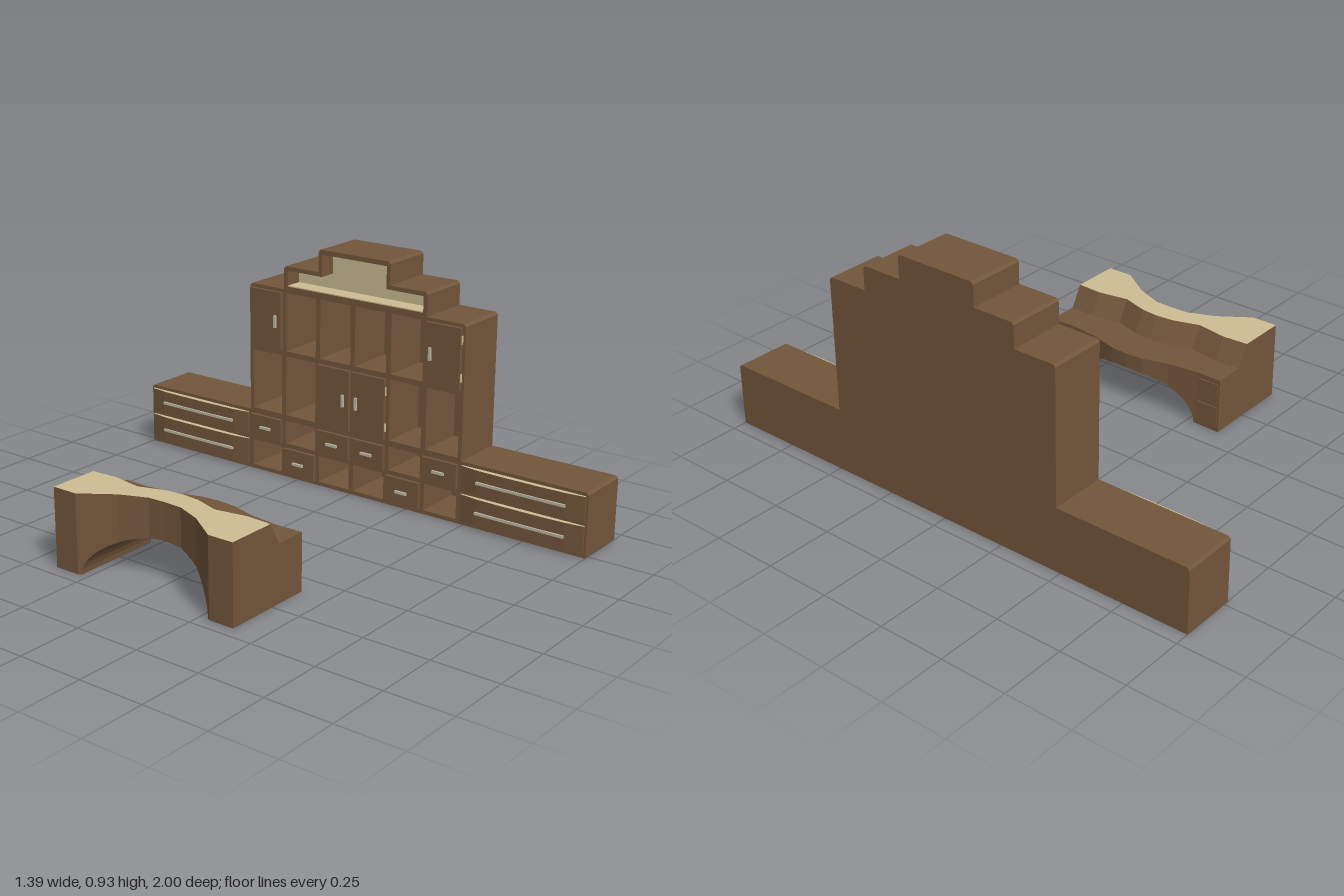
import * as THREE from 'three';

const wood = new THREE.MeshStandardMaterial({ color: 0x73563c });
const cream = new THREE.MeshStandardMaterial({ color: 0xcdbd93 });
const metal = new THREE.MeshStandardMaterial({ color: 0xbdb7a4 });
wood.name = 'brownWood';
cream.name = 'creamPanel';
metal.name = 'paleMetal';

function add(parent, name, geometry, material) {
  const mesh = new THREE.Mesh(geometry, material);
  mesh.name = name;
  parent.add(mesh);
  return mesh;
}

// Box given by its limits on each axis
function box(parent, name, [x0, x1], [y0, y1], [z0, z1], material = wood) {
  const mesh = add(parent, name, new THREE.BoxGeometry(x1 - x0, y1 - y0, z1 - z0), material);
  mesh.position.set((x0 + x1) / 2, (y0 + y1) / 2, (z0 + z1) / 2);
  return mesh;
}

// Outline in the z-y plane, extruded between two x values
function slab(shape, x0, x1) {
  const g = new THREE.ExtrudeGeometry(shape, { depth: x1 - x0, bevelEnabled: false });
  return g.rotateY(-Math.PI / 2).translate(x1, 0, 0);
}

// Symmetric outline from half of its points (positive z, bottom to top)
function mirrored(half) {
  const pts = [...half, ...half.slice().reverse().map(([z, y]) => [-z, y])];
  return pts.map(([z, y]) => new THREE.Vector2(z, y));
}

function rect(z0, z1, y0, y1) {
  return new THREE.Path([[z0, y0], [z1, y0], [z1, y1], [z0, y1]].map(p => new THREE.Vector2(...p)));
}

const ROWS = [[0.015, 0.12], [0.137, 0.23], [0.253, 0.49], [0.51, 0.74]];
// Columns run from z = -0.48 to 0.48: d = drawer or door, o = open
const CELLS = ['odoodo', 'doddod', 'ooddoo', 'dooood'];

function wallUnit() {
  const unit = new THREE.Group();
  unit.name = 'wallUnit';
  const c = 0.009; // chamfer on the top corners
  const silhouette = [[1, 0]];
  for (const [z, y] of [[1, 0.243], [0.485, 0.753], [0.322, 0.843], [0.16, 0.93]]) {
    if (z < 1) silhouette.push([z, silhouette.at(-1)[1]]);
    silhouette.push([z, y - c], [z - c, y]);
  }
  const niche = mirrored([[0.305, 0.765], [0.305, 0.827], [0.145, 0.827], [0.145, 0.912]]);

  const carcass = new THREE.Shape(mirrored(silhouette));
  carcass.holes.push(new THREE.Path(niche));

  ROWS.forEach(([y0, y1], r) => {
    for (let i = 0; i < 6; i++) {
      const z = -0.4 + i * 0.16;
      if (CELLS[r][i] === 'o') {
        carcass.holes.push(rect(z - 0.07, z + 0.07, y0, y1));
        continue;
      }
      const isDoor = r > 1;
      const side = Math.sign(z);
      box(unit, isDoor ? 'door' : 'smallDrawer', [0.465, 0.479], [y0, y1], [z - 0.074, z + 0.074]);
      const ym = (y0 + y1) / 2;
      if (isDoor) {
        const hz = z - side * 0.05;
        box(unit, 'doorHandle', [0.456, 0.466], [ym - 0.024, ym + 0.024], [hz - 0.005, hz + 0.005], metal);
        for (const dy of [-0.07, 0.07]) {
          const z0 = z + side * 0.073;
          box(unit, 'hinge', [0.471, 0.482], [ym + dy - 0.016, ym + dy + 0.016], [z0 - 0.003, z0 + 0.003], cream);
        }
      } else {
        box(unit, 'drawerHandle', [0.456, 0.466], [ym - 0.005, ym + 0.005], [z - 0.025, z + 0.025], metal);
      }
    }
  });

  add(unit, 'carcass', slab(carcass, 0.48, 0.675), wood);
  add(unit, 'backPanel', slab(new THREE.Shape(mirrored(silhouette)), 0.675, 0.695), wood);
  add(unit, 'nicheBack', slab(new THREE.Shape(niche), 0.55, 0.558), cream);
  box(unit, 'nicheFloor', [0.482, 0.55], [0.764, 0.769], [-0.304, 0.304], cream);

  // Wide bowed drawers in the low wings
  const bow = new THREE.Shape([[0.482, -0.25], [0.482, 0.25], [0.472, 0.25], [0.463, 0.18], [0.46, 0.08],
    [0.46, -0.08], [0.463, -0.18], [0.472, -0.25]].map(p => new THREE.Vector2(...p)));
  for (const side of [-1, 1]) {
    for (const [y0, y1] of ROWS.slice(0, 2)) {
      const g = new THREE.ExtrudeGeometry(bow, { depth: y1 - y0, bevelEnabled: false });
      const drawer = add(unit, 'wideDrawer', g.rotateX(-Math.PI / 2), [cream, wood]);
      drawer.position.set(0, y0, side * 0.742);
      const ym = (y0 + y1) / 2;
      box(unit, 'longHandle', [0.454, 0.464], [ym - 0.005, ym + 0.005], [side * 0.742 - 0.18, side * 0.742 + 0.18], metal);
    }
  }
  return unit;
}

// Plan of the desk: |z|, back edge, foot of the slope, front edge
const PLAN = [
  [0, -0.575, -0.44, -0.296], [0.07, -0.578, -0.446, -0.301], [0.17, -0.618, -0.478, -0.33],
  [0.29, -0.7, -0.458, -0.345], [0.39, -0.7, -0.464, -0.342],
];

function plan(z, k) {
  const a = Math.abs(z);
  const i = Math.max(1, PLAN.findIndex(p => p[0] >= a - 1e-6));
  const [p, q] = [PLAN[i - 1], PLAN[i]];
  return THREE.MathUtils.lerp(p[k], q[k], (a - p[0]) / (q[0] - p[0]));
}

function desk() {
  const group = new THREE.Group();
  group.name = 'desk';
  const R = 0.28, H = 0.155; // knee arch
  const half = [0.07, 0.17, 0.29, 0.39];
  for (let k = 0; k < 12; k++) half.push(R * Math.cos(k * Math.PI / 24));
  const zs = [0, ...half, ...half.map(z => -z)].sort((a, b) => a - b);

  const section = z => {
    const [back, foot, front] = [1, 2, 3].map(k => plan(z, k));
    const y = Math.abs(z) >= R ? 0 : H * Math.sqrt(1 - (z / R) ** 2);
    return [[back, y], [front, y], [front, 0.213], [foot, 0.213], [foot - 0.045, 0.295], [back, 0.295]]
      .map(p => [...p, z]);
  };
  const body = [], top = [];
  const quad = (out, a, b, c, d) => out.push(...a, ...b, ...c, ...a, ...c, ...d);
  for (let i = 0; i + 1 < zs.length; i++) {
    const a = section(zs[i]), b = section(zs[i + 1]);
    for (let k = 0; k < 6; k++) {
      const n = (k + 1) % 6;
      quad(k === 4 ? top : body, a[k], a[n], b[n], b[k]);
    }
  }
  // End panels, split at the height of the lower top
  for (const z of [-0.39, 0.39]) {
    const s = section(z);
    const mid = [s[0][0], 0.213, z];
    const faces = [[s[0], s[1], s[2], mid], [mid, s[3], s[4], s[5]]];
    for (const f of faces) quad(body, ...(z > 0 ? f : f.reverse()));
  }
  const build = values => {
    const g = new THREE.BufferGeometry();
    g.setAttribute('position', new THREE.Float32BufferAttribute(values, 3));
    g.computeVertexNormals();
    return g;
  };
  add(group, 'deskBody', build(body), wood);
  add(group, 'deskTop', build(top), cream);

  // Drawer fronts on both pedestals
  for (const side of [-1, 1]) {
    for (const [y0, y1] of [[0.02, 0.1], [0.115, 0.195]]) {
      const z = side * 0.34;
      box(group, 'deskDrawer', [-0.347, -0.338], [y0, y1], [z - 0.043, z + 0.043]);
    }
  }
  return group;
}

export function createModel() {
  const model = new THREE.Group();
  model.name = 'officeFurniture';
  model.add(wallUnit(), desk());
  return model;
}
